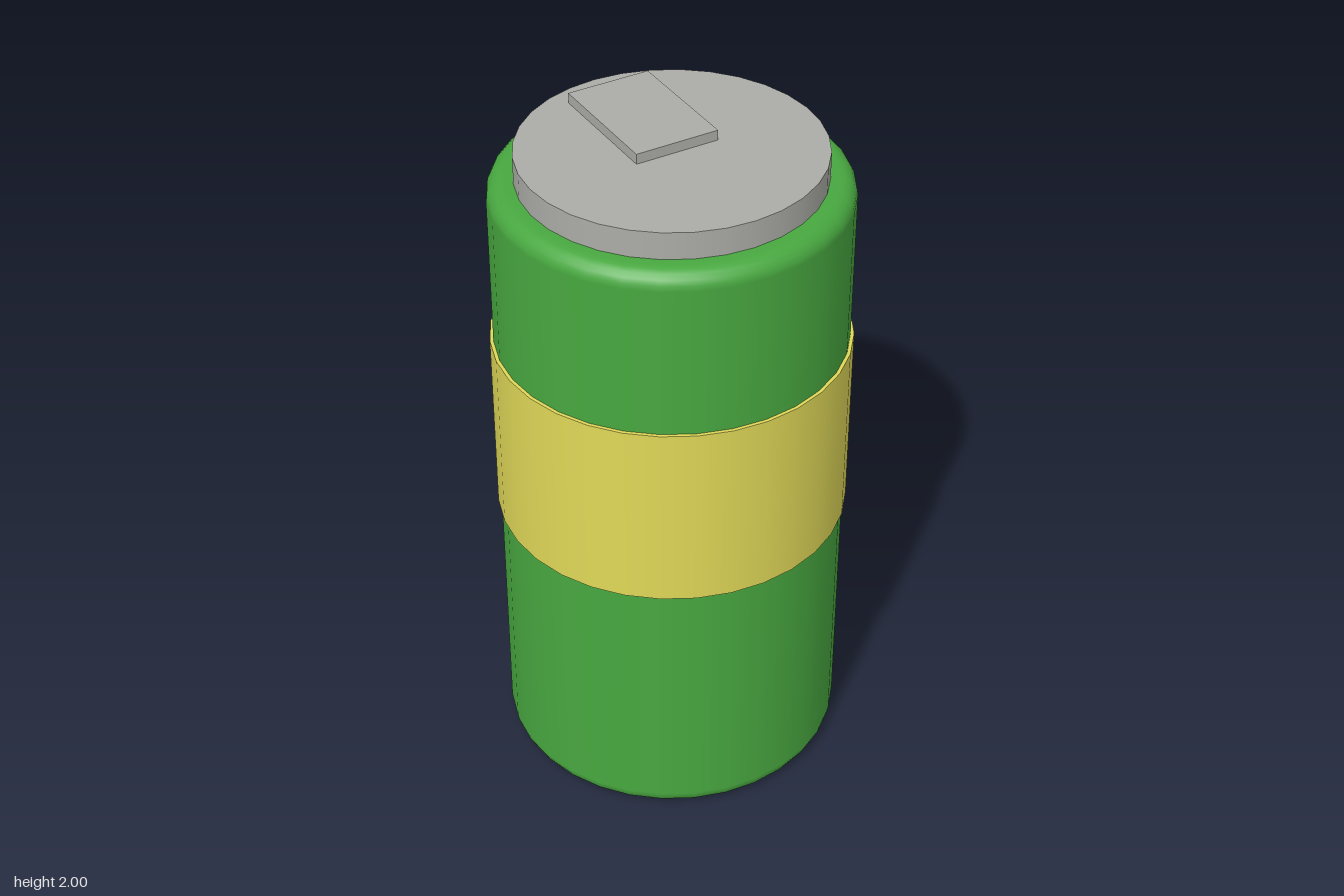
import * as THREE from 'three';

const SEGMENTS = 32;

function material(name, color) {
  const m = new THREE.MeshStandardMaterial({ color });
  m.name = name;
  return m;
}

export function createModel() {
  const group = new THREE.Group();
  group.name = 'can';
  const green = material('green', 0x48a840);
  const yellow = material('yellow', 0xe0d858);
  const grey = material('grey', 0xacaca7);

  function add(name, geometry, mat, x = 0, y = 0, z = 0) {
    const mesh = new THREE.Mesh(geometry, mat);
    mesh.name = name;
    mesh.position.set(x, y, z);
    group.add(mesh);
  }

  // Can body: straight wall with rounded top and bottom rims
  const radius = 0.5, height = 1.89, bevel = 0.05, steps = 5;
  const profile = [new THREE.Vector2(0, 0), new THREE.Vector2(0.42, 0)];
  for (const top of [false, true]) {
    const cy = top ? height - bevel : bevel;
    const start = top ? 0 : -Math.PI / 2;
    for (let i = 0; i <= steps; i++) {
      const a = start + (i / steps) * Math.PI / 2;
      profile.push(new THREE.Vector2(radius - bevel + bevel * Math.cos(a), cy + bevel * Math.sin(a)));
    }
  }
  profile.push(new THREE.Vector2(0.42, height), new THREE.Vector2(0, height));
  add('body', new THREE.LatheGeometry(profile, SEGMENTS), green);

  // Wrapped label band, slightly proud of the wall
  add('labelBand', new THREE.CylinderGeometry(0.51, 0.51, 0.565, SEGMENTS), yellow, 0, 1.107);

  // Raised lid disc
  add('lid', new THREE.CylinderGeometry(0.425, 0.425, 0.09, SEGMENTS), grey, 0, 1.925);

  // Pull tab, offset towards the back
  add('pullTab', new THREE.BoxGeometry(0.25, 0.04, 0.377), grey, 0, 1.98, -0.158);

  return group;
}
